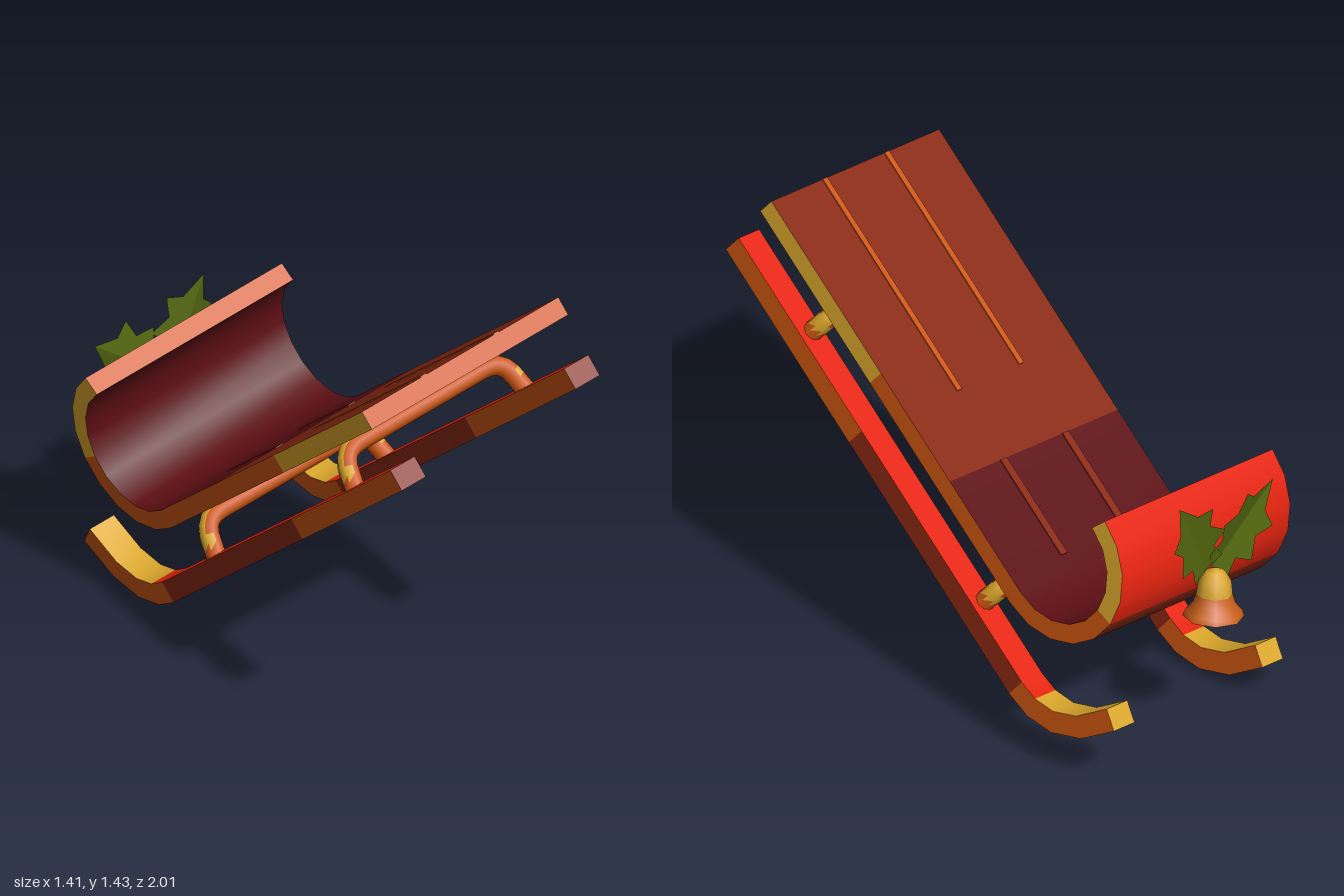
import * as THREE from 'three';
import { toCreasedNormals } from 'three/addons/utils/BufferGeometryUtils.js';

const mat = (name, color, side = THREE.FrontSide) => {
  const m = new THREE.MeshStandardMaterial({ color, side });
  m.name = name;
  return m;
};

// Splits a geometry into material groups, choosing by triangle centre and normal.
function paint(geo, pick) {
  const g = geo.index ? geo.toNonIndexed() : geo;
  g.clearGroups();
  const p = g.attributes.position;
  const tri = new THREE.Triangle(), c = new THREE.Vector3(), n = new THREE.Vector3();
  let start = 0, last = -1;
  for (let i = 0; i < p.count; i += 3) {
    tri.setFromAttributeAndIndices(p, i, i + 1, i + 2);
    tri.getMidpoint(c);
    tri.getNormal(n);
    const k = pick(c, n);
    if (k !== last) {
      if (last >= 0) g.addGroup(start, i - start, last);
      start = i;
      last = k;
    }
  }
  g.addGroup(start, p.count - start, last);
  return g;
}

// Rectangular bar swept along a side path of [s, n] points (s forward, n up).
// faceOf(face, s, n) gives the material index of each face.
function sweep(path, halfWidth, halfThick, faceOf) {
  const rings = path.map(([s, n], i) => {
    const a = path[Math.max(i - 1, 0)], b = path[Math.min(i + 1, path.length - 1)];
    const ds = b[0] - a[0], dn = b[1] - a[1], l = Math.hypot(ds, dn);
    const os = (-dn / l) * halfThick, on = (ds / l) * halfThick;
    const v = (x, k) => [x * halfWidth, n + k * on, -(s + k * os)];
    return { tl: v(-1, 1), tr: v(1, 1), bl: v(-1, -1), br: v(1, -1) };
  });
  const lists = {};
  const quad = (face, s, n, a, b, c, d) => {
    const k = faceOf(face, s, n);
    (lists[k] ??= []).push(...a, ...b, ...c, ...a, ...c, ...d);
  };
  for (let i = 0; i + 1 < rings.length; i++) {
    const r = rings[i], q = rings[i + 1];
    const s = (path[i][0] + path[i + 1][0]) / 2, n = (path[i][1] + path[i + 1][1]) / 2;
    quad('top', s, n, r.tl, r.tr, q.tr, q.tl);
    quad('bottom', s, n, r.br, r.bl, q.bl, q.br);
    quad('side', s, n, r.br, q.br, q.tr, r.tr);
    quad('side', s, n, q.bl, r.bl, r.tl, q.tl);
  }
  const f = rings[0], e = rings[rings.length - 1];
  quad('rear', ...path[0], f.bl, f.br, f.tr, f.tl);
  quad('tip', ...path[path.length - 1], e.br, e.bl, e.tl, e.tr);
  const geo = new THREE.BufferGeometry();
  const all = Object.values(lists).flat();
  geo.setAttribute('position', new THREE.Float32BufferAttribute(all, 3));
  const out = toCreasedNormals(geo, 0.6);
  let start = 0;
  for (const [k, list] of Object.entries(lists)) {
    out.addGroup(start, list.length / 3, Number(k));
    start += list.length / 3;
  }
  return out;
}

export function createModel() {
  const mats = [
    mat('yellow trim', 0xdca82c), mat('orange wood', 0xcc5510),
    mat('brown wood', 0x8a2812), mat('maroon wood', 0x5c0e13),
    mat('red paint', 0xe6240f),
  ];
  const [YELLOW, ORANGE, BROWN, MAROON, RED] = [0, 1, 2, 3, 4];
  const green = mat('holly green', 0x52660e, THREE.DoubleSide);
  const bellGold = mat('bell gold', 0xd9a52e, THREE.DoubleSide);
  const bellOrange = mat('bell rim orange', 0xc8601a, THREE.DoubleSide);

  const model = new THREE.Group();
  model.name = 'sled';
  const sled = new THREE.Group();
  sled.name = 'tiltedSled';
  model.add(sled);
  const add = (parent, name, geo, material) => {
    const m = new THREE.Mesh(geo, material);
    m.name = name;
    parent.add(m);
    return m;
  };

  // Board with the front curled back over itself
  const board = [[0, -0.03], [0.65, -0.03], [1.06, -0.03], [1.48, -0.03]];
  for (let i = 1; i <= 9; i++) {
    const a = -Math.PI / 2 + (i * Math.PI) / 9;
    board.push([1.48 + 0.24 * Math.cos(a), 0.21 + 0.24 * Math.sin(a)]);
  }
  add(sled, 'board', sweep(board, 0.407, 0.032, (face, s, n) => {
    if (face === 'rear' || face === 'tip') return ORANGE;
    if (face === 'top') return s < 1.06 ? BROWN : MAROON;
    if (face === 'bottom') return n > 0.24 ? RED : BROWN;
    return s < 0.65 || n > 0.28 ? YELLOW : ORANGE;
  }), mats);

  // Thin seams between the three planks
  for (const u of [-0.15, 0.15]) {
    for (const [name, s0, s1, w, k] of [['seam', 0, 0.8, 0.022, ORANGE], ['frontSeam', 1.06, 1.42, 0.03, BROWN]]) {
      const seam = add(sled, name, new THREE.BoxGeometry(w, 0.006, s1 - s0), mats[k]);
      seam.position.set(u, 0.003, -(s0 + s1) / 2);
    }
  }

  // Runners with upturned tips
  const runner = [[0.02, -0.24], [0.75, -0.24], [1.7, -0.24], [1.78, -0.228],
    [1.86, -0.185], [1.93, -0.1], [1.98, 0.035]];
  const runnerGeo = sweep(runner, 0.05, 0.037, (face, s) => {
    if (face === 'rear') return BROWN;
    if (face === 'tip') return YELLOW;
    if (face === 'top') return s < 1.8 ? RED : YELLOW;
    if (face === 'bottom') return s < 1.74 ? BROWN : ORANGE;
    return s < 0.7 || s > 1.7 ? ORANGE : BROWN;
  });
  for (const side of [-1, 1]) {
    add(sled, side > 0 ? 'leftRunner' : 'rightRunner', runnerGeo, mats).position.x = side * 0.36;
  }

  // Bent tube struts joining the runners below the board
  const bend = new THREE.CurvePath();
  const V = (x, y) => new THREE.Vector3(x, y, 0);
  bend.add(new THREE.LineCurve3(V(-0.36, -0.24), V(-0.34, -0.15)));
  bend.add(new THREE.QuadraticBezierCurve3(V(-0.34, -0.15), V(-0.325, -0.085), V(-0.25, -0.085)));
  bend.add(new THREE.LineCurve3(V(-0.25, -0.085), V(0.25, -0.085)));
  bend.add(new THREE.QuadraticBezierCurve3(V(0.25, -0.085), V(0.325, -0.085), V(0.34, -0.15)));
  bend.add(new THREE.LineCurve3(V(0.34, -0.15), V(0.36, -0.24)));
  const strutGeo = paint(new THREE.TubeGeometry(bend, 36, 0.034, 8), (c, n) =>
    (Math.abs(c.x) > 0.29 && n.x * Math.sign(c.x) > 0.35 && c.y > -0.17 ? YELLOW : ORANGE));
  for (const s of [0.39, 1.41]) {
    add(sled, s < 1 ? 'rearStrut' : 'frontStrut', strutGeo, mats).position.z = -s;
  }

  // Holly and bell on the outside of the curl
  const deco = new THREE.Group();
  deco.name = 'hollyAndBell';
  deco.quaternion.setFromRotationMatrix(new THREE.Matrix4().makeBasis(
    new THREE.Vector3(-1, 0, 0), new THREE.Vector3(0, 0.8, 0.6), new THREE.Vector3(0, 0.6, -0.8)));
  deco.position.set(0, 0.372, -1.696);
  sled.add(deco);

  const half = new THREE.Shape([[0, 0], [0.07, 0.01], [0.055, 0.07], [0.11, 0.1],
    [0.07, 0.16], [0.1, 0.22], [0.045, 0.235], [0, 0.32]].map(([x, y]) => new THREE.Vector2(x, y)));
  const halfGeo = new THREE.ShapeGeometry(half);
  const hp = halfGeo.attributes.position;
  for (let i = 0; i < hp.count; i++) hp.setZ(i, 0.25 * hp.getX(i));
  halfGeo.computeVertexNormals();
  for (const [name, angle, size] of [['leftLeaf', 0.58, 1], ['rightLeaf', -0.82, 1.08]]) {
    const leaf = new THREE.Group();
    leaf.name = name;
    leaf.position.set(-Math.sign(angle) * 0.015, -0.03, 0.02);
    leaf.rotation.z = angle;
    leaf.scale.setScalar(size);
    for (const m of [-1, 1]) add(leaf, 'leafHalf', halfGeo, green).scale.x = m;
    deco.add(leaf);
  }

  const P = (list) => list.map(([r, y]) => new THREE.Vector2(r, y));
  const bell = new THREE.Group();
  bell.name = 'bell';
  bell.position.set(-0.03, -0.16, 0.085);
  bell.rotation.x = -0.1;
  add(bell, 'bellDome', new THREE.LatheGeometry(P([[0.058, 0.075], [0.052, 0.12], [0.032, 0.152], [0, 0.165]]), 8), bellGold);
  add(bell, 'bellFlare', new THREE.LatheGeometry(P([[0.098, 0], [0.092, 0.018], [0.068, 0.045], [0.058, 0.075]]), 8), bellOrange);
  add(bell, 'clapper', new THREE.SphereGeometry(0.028, 8, 6), bellOrange).position.y = 0.005;
  deco.add(bell);

  // Whole sled tilted nose down and turned
  const x = new THREE.Vector3(0.886, 0.168, -0.434).normalize();
  const z = new THREE.Vector3(0.262, 0.6, 0.757);
  z.addScaledVector(x, -z.dot(x)).normalize();
  const y = new THREE.Vector3().crossVectors(z, x);
  sled.quaternion.setFromRotationMatrix(new THREE.Matrix4().makeBasis(x, y, z));
  sled.position.set(0.24, 1.365, 0.7);
  return model;
}
